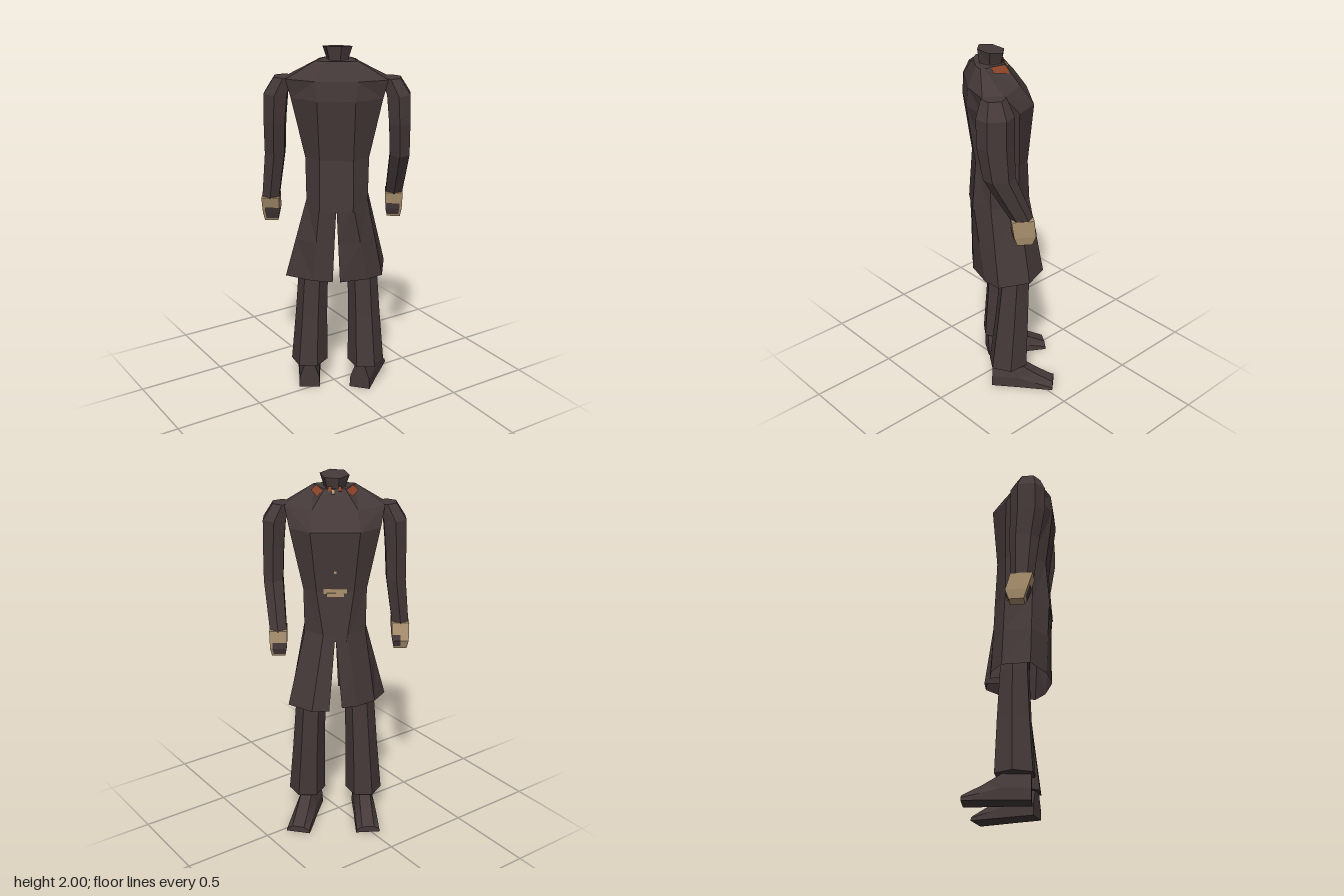
import * as THREE from 'three';

const mat = (name, color, double) => {
  const m = new THREE.MeshStandardMaterial({ color });
  m.name = name;
  if (double) m.side = THREE.DoubleSide;
  return m;
};

// Faceted mesh geometry from a list of triangle corners
function facets(corners) {
  const g = new THREE.BufferGeometry();
  g.setAttribute('position', new THREE.Float32BufferAttribute(corners.flat(), 3));
  g.computeVertexNormals();
  return g;
}

// Joins cross-sections (each a list of [x, y, z]); closed ones get end caps
function loft(rings, closed = true) {
  const out = [], n = rings[0].length;
  for (let r = 0; r < rings.length - 1; r++) {
    for (let i = 0; i < (closed ? n : n - 1); i++) {
      const j = (i + 1) % n;
      const a = rings[r][i], b = rings[r][j], c = rings[r + 1][j], d = rings[r + 1][i];
      if (i < n / 2) out.push(a, b, c, a, c, d);
      else out.push(a, b, d, b, c, d);
    }
  }
  if (closed) {
    const lo = rings[0], hi = rings[rings.length - 1];
    for (let i = 1; i < n - 1; i++) out.push(lo[0], lo[i + 1], lo[i], hi[0], hi[i], hi[i + 1]);
  }
  return facets(out);
}

// Six-sided section around the vertical axis
const oval = (x, y, z, rx, rz, turn = 0, tilt = 0) =>
  Array.from({ length: 6 }, (_, i) => {
    const a = turn + (i / 6) * Math.PI * 2;
    return [x + Math.sin(a) * rx, y + Math.cos(a) * tilt, z + Math.cos(a) * rz];
  });

// Rectangular section, front edge first
const block = (y, x, z, w, d) => [[x - w, y, z + d], [x + w, y, z + d], [x + w, y, z - d], [x - w, y, z - d]];

// Symmetrical eight-point body section
function section([y, fw, zf, w, z1, z2, bw, zb]) {
  const half = [[fw, y, zf], [w, y, z1], [w, y, z2], [bw, y, zb]];
  return [...half, ...half.map(([x, h, z]) => [-x, h, z]).reverse()];
}

// What differs between the two sides of the stance
const sides = [
  {
    s: 1, name: 'left', wrist: [0.36, -0.068], reach: 0.03, thigh: 0, shoe: [0.165, 0.07],
    hem: [[0.045, 0.05], [0.035, 0.15], [0.12, 0.13], [0.22, 0.06], [0.285, -0.1], [0.13, -0.17], [0.02, -0.185]],
  },
  {
    s: -1, name: 'right', wrist: [0.308, 0.045], reach: 0.012, thigh: 0.035, shoe: [-0.153, -0.24],
    hem: [[0.045, 0.07], [0.035, 0.19], [0.13, 0.195], [0.26, 0.1], [0.25, -0.07], [0.17, -0.135], [0.02, -0.185]],
  },
];

export function createModel() {
  const cloth = mat('dark cloth', 0x453939, true);
  const tan = mat('tan', 0xab9270);
  const rust = mat('rust', 0x8a4326, true);

  const model = new THREE.Group();
  const body = new THREE.Group();
  body.name = 'body';
  const add = (name, geo, material) => {
    const m = new THREE.Mesh(geo, material);
    m.name = name;
    body.add(m);
    return m;
  };
  const plate = (name, size, pos, material) => {
    const m = add(name, new THREE.BoxGeometry(...size), material);
    m.position.set(...pos);
    return m;
  };

  // Upper coat: y, front half width and z, side half width and two z, back half width and z
  add('upperCoat', loft([
    [1.12, 0.06, 0.125, 0.165, 0.05, -0.1, 0.09, -0.19],
    [1.4, 0.1, 0.105, 0.17, 0.05, -0.1, 0.09, -0.17],
    [1.73, 0.13, 0.13, 0.24, 0.04, -0.14, 0.1, -0.215],
    [1.83, 0.12, 0.06, 0.265, -0.04, -0.15, 0.11, -0.205],
    [1.925, 0.055, -0.01, 0.11, -0.12, -0.14, 0.06, -0.16],
  ].map(section)), cloth);

  // Neck, slightly uneven at the top
  add('neck', loft([
    oval(0, 1.88, -0.075, 0.07, 0.075, 0.3),
    oval(0, 1.93, -0.075, 0.06, 0.065, 0.3),
    oval(0, 1.99, -0.075, 0.08, 0.075, 0.3, -0.01),
  ]), cloth);

  // Shoulder bands lying on the slope beside the neck, and collar tabs
  const band = [[0.062, 1.921, -0.003], [0.092, 1.889, 0.008], [0.126, 1.904, -0.075], [0.096, 1.929, -0.088]];
  for (const s of [1, -1]) {
    const [a, b, c, d] = band.map(([x, y, z]) => [s * x, y, z]);
    add('shoulderBand', facets(s > 0 ? [a, b, c, a, c, d] : [a, c, b, a, d, c]), rust);
    plate('collarTab', [0.018, 0.026, 0.006], [s * 0.027, 1.924, -0.011], rust).rotation.x = -0.63;
  }

  // Collar pin, button and buckle
  plate('collarPin', [0.018, 0.025, 0.008], [-0.008, 1.912, 0.004], tan).rotation.x = -0.63;
  plate('button', [0.012, 0.014, 0.008], [0, 1.51, 0.114], tan);
  plate('buckle', [0.125, 0.026, 0.008], [0, 1.405, 0.108], tan);
  plate('buckleDrop', [0.09, 0.02, 0.008], [0, 1.385, 0.109], tan);

  for (const { s, name, wrist: [hx, hz], reach, thigh, shoe, hem } of sides) {
    const flip = (rings) => rings.map((r) => (s > 0 ? r : r.map(([x, y, z]) => [-x, y, z]).reverse()));

    // Coat skirt half, split at the front and the back, with a turned-in front edge
    const waist = [
      [0, 0.05], [0, 0.122], [0.065, 0.122], [0.165, 0.052], [0.167, -0.1], [0.09, -0.186], [0, -0.186],
    ];
    const skirtRing = (t) => hem.map(([x, z], i) => [
      x + (waist[i][0] - x) * t,
      (i < 4 ? 0.735 : 0.71) * (1 - t) + 1.16 * t,
      z + (waist[i][1] - z) * t,
    ]);
    add(name + 'CoatSkirt', loft(flip([0, 0.5, 1].map(skirtRing)), false), cloth);

    // Trouser leg
    add(name + 'Leg', loft(flip([
      oval(0.163, 0.145, -0.005, 0.104, 0.114, 0.5),
      oval(0.15, 0.45, thigh / 2, 0.09, 0.098, 0.5),
      oval(0.137, 0.72, thigh, 0.083, 0.085, 0.5),
      oval(0.09, 1.1, 0, 0.072, 0.08, 0.5),
    ])), cloth);

    // Sleeve
    add(name + 'Sleeve', loft(flip([
      oval(hx, 1.17, hz, 0.052, 0.062),
      oval(0.332, 1.42, -0.075, 0.06, 0.083),
      oval(0.328, 1.6, -0.093, 0.064, 0.096),
      oval(0.32, 1.75, -0.093, 0.07, 0.097),
      oval(0.278, 1.835, -0.095, 0.058, 0.065),
    ])), cloth);

    // Hand: tapered block reaching forward
    const hand = [
      block(1.03, hx, hz + reach, 0.036, 0.04),
      block(1.08, hx, hz + reach, 0.045, 0.058),
      block(1.175, hx, hz, 0.048, 0.06),
    ];
    add(name + 'Hand', loft(flip(hand)), tan);

    // Dark patches just above the front and back faces of the hand
    const patch = (low, high, from, to, depth) => [[low, from], [low, to], [high, to], [high, from]]
      .map(([v, u]) => {
        const [lo, hi, t] = v < 1 ? [hand[0], hand[1], v] : [hand[1], hand[2], v - 1];
        const at = (k, c) => lo[k][c] + (hi[k][c] - lo[k][c]) * t;
        const [p, q] = depth > 0 ? [0, 1] : [3, 2];
        const point = [0, 1, 2].map((c) => at(p, c) + (at(q, c) - at(p, c)) * u);
        return [s * point[0], point[1], point[2] + depth];
      });
    for (const [part, f] of [['Knuckle', 0.004], ['Heel', -0.004]]) {
      const far = f > 0 && s > 0 ? 0.5 : 0.85;
      add(name + part + 'PatchLow', loft([0.3, 1].map((v) => patch(v, v, 0.02, far, f).slice(0, 2)), false), cloth);
      add(name + part + 'PatchHigh', loft([1, 1.35].map((v) => patch(v, v, 0.02, far, f).slice(0, 2)), false), cloth);
    }

    // Shoe: sections from heel to toe
    const shoeMesh = add(name + 'Shoe', loft([
      [-0.09, 0.06, 0.14], [0.06, 0.062, 0.145], [0.16, 0.066, 0.085], [0.262, 0.068, 0.035],
    ].map(([z, w, h]) => [
      [-w, 0, z], [w, 0, z], [w * 0.95, h * 0.45, z], [w * 0.5, h, z], [-w * 0.5, h, z], [-w * 0.95, h * 0.45, z],
    ])), cloth);
    shoeMesh.position.x = shoe[0];
    shoeMesh.rotation.y = shoe[1];
  }

  // Turn the figure to its stance
  body.position.set(0.016, 0, 0.013);
  body.rotation.y = Math.PI - 0.61;
  model.add(body);
  return model;
}
